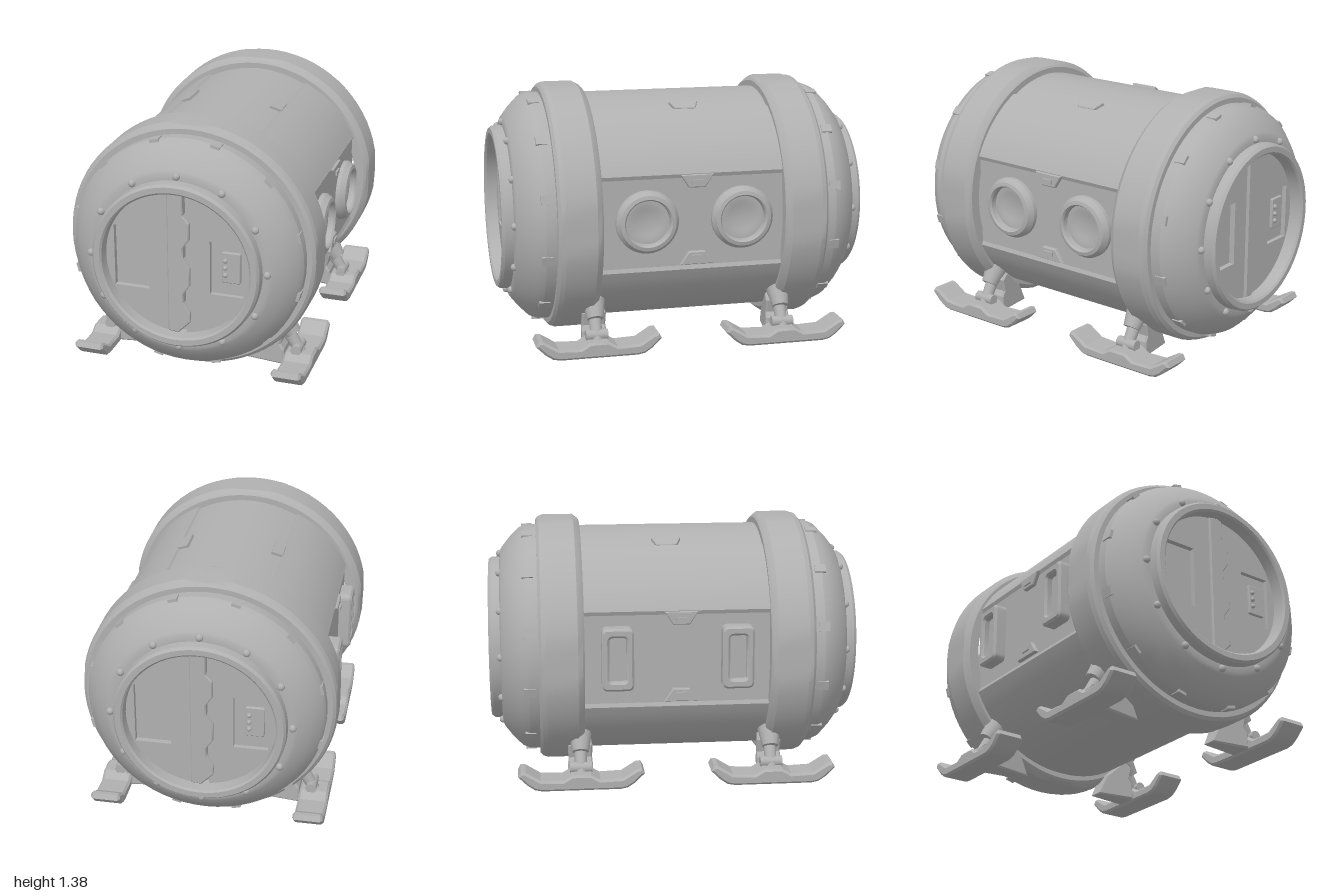
import * as THREE from 'three';
import { toCreasedNormals } from 'three/addons/utils/BufferGeometryUtils.js';

const CY = 0.707; // height of the capsule axis
const grey = new THREE.MeshStandardMaterial({ color: 0xb0b0b0 });
grey.name = 'hull grey';

function add(parent, name, geo, pos = [0, 0, 0], rot = [0, 0, 0]) {
  const m = new THREE.Mesh(geo, grey);
  m.name = name;
  m.position.set(...pos);
  m.rotation.set(...rot);
  parent.add(m);
  return m;
}
const crease = (g, a = 0.45) => toCreasedNormals(g, a);
const vec = (p) => p.map(([x, y]) => new THREE.Vector2(x, y));
const polygon = (p) => new THREE.Shape(vec(p));

// revolve [radius, z] points around the z axis
const lathe = (pts, seg = 64) => new THREE.LatheGeometry(vec(pts), seg).rotateX(Math.PI / 2);

// plate with a small bevel, from z = 0 to z = depth
function plate(shape, depth, bevel = 0.008) {
  return crease(new THREE.ExtrudeGeometry(shape, {
    depth: depth - bevel, bevelEnabled: bevel > 0, bevelSize: bevel, bevelOffset: -bevel,
    bevelThickness: bevel, bevelSegments: 1, curveSegments: 24,
  }));
}

function roundRect(w, h, r, S = THREE.Shape) {
  const s = new S(), x = w / 2, y = h / 2;
  s.moveTo(-x + r, -y); s.lineTo(x - r, -y); s.quadraticCurveTo(x, -y, x, -y + r);
  s.lineTo(x, y - r); s.quadraticCurveTo(x, y, x - r, y);
  s.lineTo(-x + r, y); s.quadraticCurveTo(-x, y, -x, y - r);
  s.lineTo(-x, -y + r); s.quadraticCurveTo(-x, -y, -x + r, -y);
  return s;
}

// barrel section: round shell, flat recessed side panels, sunken roof panel
function hullGeometry() {
  const half = [];
  const arc = (a, b, n, ra, rb) => {
    for (let i = 0; i <= n; i++) {
      const t = THREE.MathUtils.degToRad(a + (b - a) * i / n), r = ra + (rb - ra) * i / n;
      half.push([Math.cos(t) * r, Math.sin(t) * r]);
    }
  };
  arc(-89.9, -24, 14, 0.626, 0.642);
  half.push([0.578, -0.24], [0.578, 0.24]);
  arc(24, 62.5, 9, 0.642, 0.632);
  arc(63, 89.9, 7, 0.62, 0.624);
  const other = half.map(([x, y]) => [-x, y]).reverse();
  const g = new THREE.ExtrudeGeometry(polygon([...half, ...other]), { depth: 1.04, bevelEnabled: false });
  return crease(g.translate(0, 0, -0.52), 0.3);
}

// recessed double door seen inside an end ring
function makeDoor(end) {
  const door = new THREE.Group();
  door.name = 'door';
  door.position.z = 0.9;
  add(door, 'doorBack', new THREE.CircleGeometry(0.41, 48));
  // rounded leaf from an inner edge out to the ring, with an optional window
  const leaf = (edge, a0, a1, hole) => {
    const s = polygon(edge);
    s.absarc(0, 0, 0.4, a0, a1, false);
    if (hole) s.holes.push(hole);
    return s;
  };
  const pocket = (x0, x1, y0, y1) => new THREE.Path(vec([[x0, y0], [x0, y1], [x1, y1], [x1, y0]]));
  add(door, 'leftLeaf', plate(leaf([[-0.055, -0.396], [-0.055, 0.396]],
    Math.PI / 2 + 0.138, Math.PI * 1.5 - 0.138, pocket(-0.35, -0.16, -0.17, 0.17)), 0.03, 0));
  const teeth = [[0.03, 0.39], [0.03, 0.27], [0.065, 0.23], [0.065, 0.14], [0.03, 0.09], [0.03, 0.03],
    [0.065, -0.02], [0.065, -0.12], [0.03, -0.17], [0.03, -0.22], [0.065, -0.27], [0.065, -0.33], [0.0, -0.395]];
  add(door, 'toothedSeam', plate(polygon([[-0.055, -0.39], [-0.055, 0.39], [0, 0.4], ...teeth]), 0.045, 0.006));
  add(door, 'rightLeaf', plate(leaf([[0.04, 0.398], [0.04, -0.398]],
    -Math.PI / 2 + 0.1, Math.PI / 2 - 0.1, pocket(0.17, 0.35, -0.155, 0.14)), 0.025, 0));
  add(door, 'handlePlate', plate(roundRect(0.1, 0.17, 0.01), 0.015, 0.004), [0.28, 0, 0]);
  for (const y of [-0.04, 0, 0.04])
    add(door, 'handleKnob', new THREE.SphereGeometry(0.013, 10, 8), [0.25, y, 0.018]);
  end.add(door);
}

// one end: clamp band, domed cap, ring, rivets, latches and door
function makeEnd(name) {
  const end = new THREE.Group();
  end.name = name;
  end.position.y = CY;
  const band = lathe([[0.6, 0.495], [0.655, 0.495], [0.667, 0.505], [0.686, 0.53], [0.686, 0.695],
    [0.677, 0.72], [0.66, 0.735], [0.6, 0.735]], 72);
  const p = band.attributes.position;
  for (let i = 0; i < p.count; i++) { // flatten the sides, roof and floor of the band
    p.setX(i, THREE.MathUtils.clamp(p.getX(i), -0.677, 0.677));
    p.setY(i, THREE.MathUtils.clamp(p.getY(i), -0.677, 0.677));
  }
  add(end, 'clampBand', crease(band, 0.3));
  add(end, 'endCap', crease(lathe([[0.632, 0.72], [0.632, 0.79], [0.615, 0.83], [0.56, 0.885], [0.505, 0.928],
    [0.485, 0.937], [0.455, 0.938], [0.452, 0.985], [0.44, 1], [0.41, 1], [0.4, 0.99], [0.395, 0.895]]), 0.4));
  for (let i = 0; i < 12; i++) {
    const a = i * Math.PI / 6, c = Math.cos(a), s = Math.sin(a);
    add(end, 'rivet', new THREE.SphereGeometry(0.02, 10, 8), [c * 0.478, s * 0.478, 0.938]);
    // small clip on the cap shoulder
    const b = a + Math.PI / 12;
    add(end, 'capClip', new THREE.BoxGeometry(0.02, 0.05, 0.06),
      [Math.cos(b) * 0.627, Math.sin(b) * 0.627, 0.785], [0, 0, b]);
  }
  for (const a of [Math.PI * 0.24, Math.PI * 0.76]) {
    const latch = new THREE.Group();
    latch.name = 'latch';
    latch.rotation.z = a;
    const frame = roundRect(0.1, 0.08, 0.01);
    frame.holes.push(roundRect(0.05, 0.04, 0.005, THREE.Path));
    add(latch, 'latchFrame', plate(frame, 0.045, 0.006).rotateX(Math.PI / 2).rotateZ(-Math.PI / 2),
      [0.668, 0, 0.595]);
    end.add(latch);
  }
  makeDoor(end);
  return end;
}

// ski foot with strut and inner wedge, for the +x side
function makeLeg() {
  const leg = new THREE.Group();
  leg.name = 'landingLeg';
  const ski = polygon([[-0.34, 0.085], [-0.29, 0.035], [-0.25, 0.008], [-0.21, 0], [0.21, 0], [0.25, 0.008],
    [0.29, 0.035], [0.34, 0.085], [0.325, 0.112], [0.3, 0.11], [0.22, 0.06], [0.1, 0.055],
    [0.05, 0.085], [-0.05, 0.085], [-0.1, 0.055], [-0.22, 0.06], [-0.3, 0.11], [-0.325, 0.112]]);
  add(leg, 'ski', plate(ski, 0.15, 0.012).rotateY(-Math.PI / 2), [0.625, 0, 0]);
  // strut between two points
  const strut = (name, a, b, r0, r1) => {
    const A = new THREE.Vector3(...a), B = new THREE.Vector3(...b), d = B.clone().sub(A);
    const m = add(leg, name, new THREE.CylinderGeometry(r1, r0, d.length(), 12));
    m.position.copy(A).addScaledVector(d, 0.5);
    m.quaternion.setFromUnitVectors(new THREE.Vector3(0, 1, 0), d.normalize());
  };
  strut('strut', [0.56, 0.06, 0], [0.42, 0.29, 0], 0.03, 0.04);
  strut('strutSocket', [0.51, 0.18, 0], [0.43, 0.29, 0], 0.045, 0.07);
  strut('ankle', [0.54, 0.1, -0.06], [0.54, 0.1, 0.06], 0.03, 0.03);
  const wedge = polygon([[0.245, 0.01], [0.48, 0.01], [0.475, 0.1], [0.455, 0.13], [0.47, 0.2], [0.42, 0.24], [0.3, 0.13]]);
  const g = plate(wedge, 0.13, 0.01).translate(0, 0, -0.06);
  const p = g.attributes.position;
  for (let i = 0; i < p.count; i++) // taper towards the inner tip
    p.setZ(i, p.getZ(i) * THREE.MathUtils.mapLinear(p.getX(i), 0.24, 0.48, 0.5, 1));
  g.computeVertexNormals();
  add(leg, 'innerWedge', g);
  return leg;
}

export function createModel() {
  const model = new THREE.Group();
  model.name = 'capsule';
  add(model, 'hull', hullGeometry(), [0, CY, 0]);

  const front = makeEnd('frontEnd'), back = makeEnd('backEnd');
  back.rotation.y = Math.PI;
  model.add(front, back);

  // side panels: round portholes on the left, tall windows on the right
  for (const s of [1, -1]) {
    const side = new THREE.Group();
    side.name = s > 0 ? 'leftPanel' : 'rightPanel';
    side.position.set(s * 0.575, 0.72, 0);
    side.rotation.y = s * Math.PI / 2;
    for (const k of [1, -1]) {
      if (s > 0) {
        const x = k > 0 ? 0.27 : -0.25;
        add(side, 'portholeRing', crease(lathe([[0.17, 0], [0.17, 0.025], [0.15, 0.055], [0.13, 0.06],
          [0.122, 0.05], [0.118, 0.005]], 32)), [x, 0, 0]);
        add(side, 'portholePane', crease(lathe([[0.12, 0.02], [0.09, 0.02], [0.07, 0.012], [0, 0.012]], 32)), [x, 0, 0]);
      } else {
        const frame = roundRect(0.17, 0.34, 0.035);
        frame.holes.push(roundRect(0.09, 0.24, 0.02, THREE.Path));
        add(side, 'windowFrame', plate(frame, 0.075, 0.012), [k * 0.32, 0, 0]);
        add(side, 'windowPane', new THREE.BoxGeometry(0.1, 0.25, 0.03), [k * 0.32, 0, 0.02]);
      }
      // trapezoid catches on the upper and lower panel edges
      const tab = polygon([[-0.09, 0.07], [-0.045, 0], [0.045, 0], [0.09, 0.07]]);
      add(side, 'panelCatch', plate(tab, 0.025, 0.005), [0.02, k * 0.175, 0], [0, 0, k > 0 ? 0 : Math.PI]);
      add(side, 'catchPin', new THREE.BoxGeometry(0.06, 0.025, 0.02), [0.02, k * 0.205, 0.025]);
    }
    model.add(side);
    // catches along the roof panel edges
    const roofTab = polygon([[-0.08, 0], [-0.055, 0.065], [0.055, 0.065], [0.08, 0]]);
    add(model, 'roofCatch', plate(roofTab, 0.02, 0.004).rotateX(Math.PI / 2).rotateY(s * Math.PI / 2).rotateZ(-s * 0.45),
      [s * 0.235, CY + 0.59, -0.03]);
  }

  // four ski legs
  for (const x of [1, -1]) for (const z of [0.52, -0.52]) {
    const leg = makeLeg();
    leg.rotation.y = x > 0 ? 0 : Math.PI;
    leg.position.z = z;
    model.add(leg);
  }
  return model;
}
